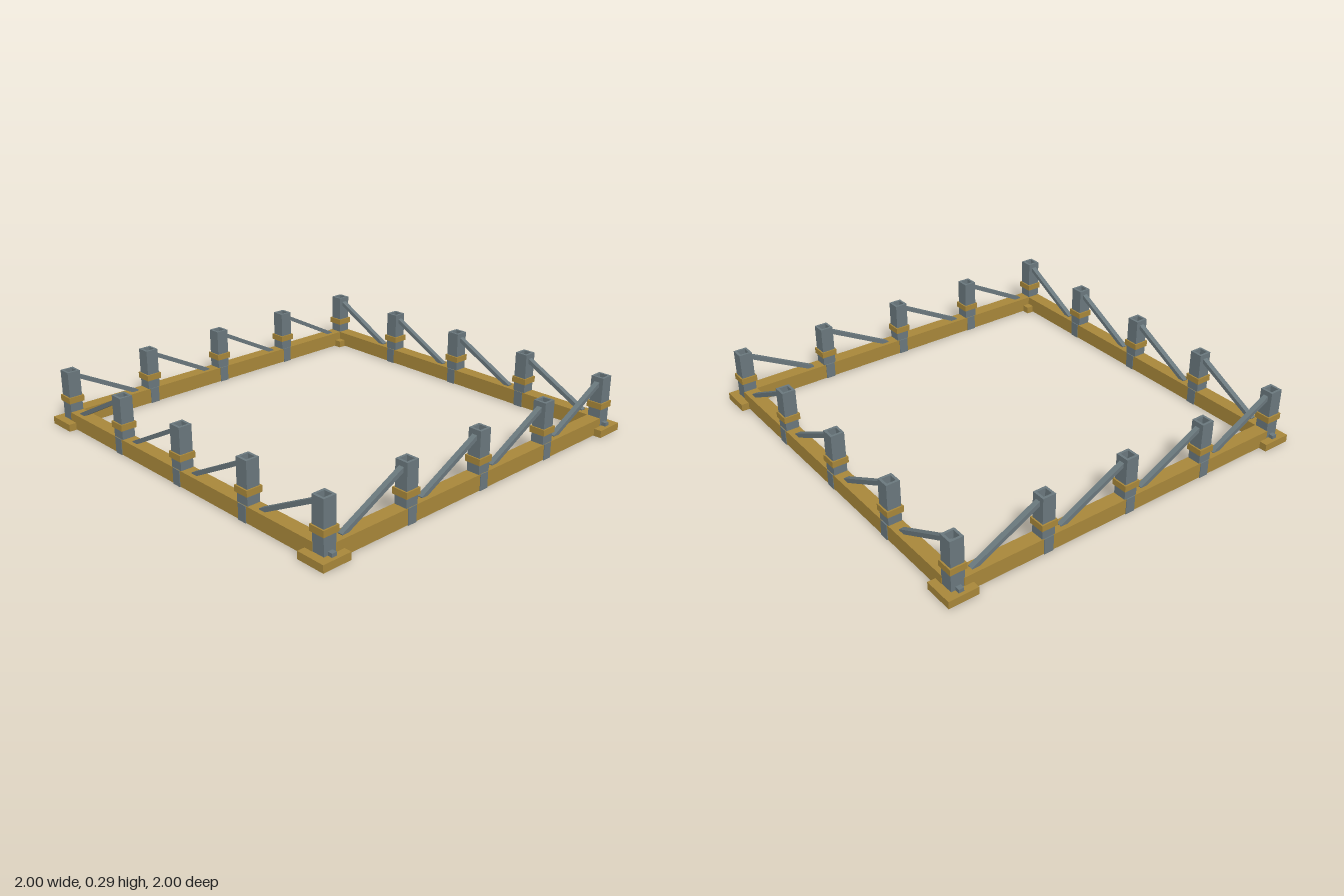
import * as THREE from 'three';

const R = 0.925;        // distance of the frame centreline from the middle
const STEP = R / 2;     // post spacing
const PLATE_TOP = 0.037, BEAM_TOP = 0.08, POST_TOP = 0.288;

export function createModel() {
  const ochre = new THREE.MeshStandardMaterial({ color: 0xa8873a });
  ochre.name = 'ochre';
  const steel = new THREE.MeshStandardMaterial({ color: 0x6a787d });
  steel.name = 'steelGrey';

  const model = new THREE.Group();
  model.name = 'squareFrame';

  function add(parent, name, geometry, material, x, y, z) {
    const mesh = new THREE.Mesh(geometry, material);
    mesh.name = name;
    mesh.position.set(x, y, z);
    parent.add(mesh);
    return mesh;
  }

  function box(parent, name, material, w, h, d, x, y, z) {
    return add(parent, name, new THREE.BoxGeometry(w, h, d), material, x, y, z);
  }

  // Upright square tube between two heights
  function tube(parent, name, material, outer, inner, y0, y1, x, z) {
    const square = (Type, s) => new Type([
      new THREE.Vector2(-s, -s), new THREE.Vector2(s, -s),
      new THREE.Vector2(s, s), new THREE.Vector2(-s, s)]);
    const shape = square(THREE.Shape, outer / 2);
    shape.holes.push(square(THREE.Path, inner / 2));
    const geometry = new THREE.ExtrudeGeometry(shape, { depth: y1 - y0, bevelEnabled: false });
    geometry.rotateX(-Math.PI / 2);
    add(parent, name, geometry, material, x, y0, z);
  }

  // Hollow post with its clamping collar
  function post(parent, x, y0) {
    tube(parent, 'post', steel, 0.068, 0.044, y0, POST_TOP, x, R);
    box(parent, 'postFloor', steel, 0.05, 0.01, 0.05, x, y0 + 0.005, R);
    tube(parent, 'collar', ochre, 0.083, 0.066, 0.127, 0.158, x, R);
  }

  // Diagonal brace rising towards the post at x
  function brace(parent, x) {
    const low = new THREE.Vector2(x - 0.375, 0.075);
    const high = new THREE.Vector2(x - 0.025, 0.256);
    const mesh = box(parent, 'brace', steel, low.distanceTo(high), 0.021, 0.027,
      (low.x + high.x) / 2, (low.y + high.y) / 2, R);
    mesh.rotation.z = Math.atan2(high.y - low.y, high.x - low.x);
  }

  // Four identical sides, each turned a quarter
  ['front', 'right', 'back', 'left'].forEach((label, i) => {
    const side = new THREE.Group();
    side.name = label + 'Side';
    side.rotation.y = i * Math.PI / 2;
    model.add(side);

    box(side, 'beam', ochre, 2 * R - 0.06, BEAM_TOP - 0.002, 0.072, 0, BEAM_TOP / 2 + 0.001, R);
    box(side, 'cornerPlate', ochre, 0.15, PLATE_TOP, 0.15, R, PLATE_TOP / 2, R);
    post(side, R, PLATE_TOP);
    for (let k = -1; k <= 1; k++) {
      post(side, k * STEP, BEAM_TOP);
      // Saddle wrapped round the beam under the post
      box(side, 'saddle', steel, 0.05, BEAM_TOP, 0.078, k * STEP, BEAM_TOP / 2, R);
    }
    for (let k = -1; k <= 2; k++) brace(side, k * STEP);
  });

  // Small pegs on the outer ends of the corner plates
  for (const sx of [-1, 1]) {
    for (const sz of [-1, 1]) {
      box(model, 'cornerPeg', steel, 0.03, 0.018, 0.026, sx * 0.968, PLATE_TOP + 0.009, sz * R);
    }
  }
  return model;
}
